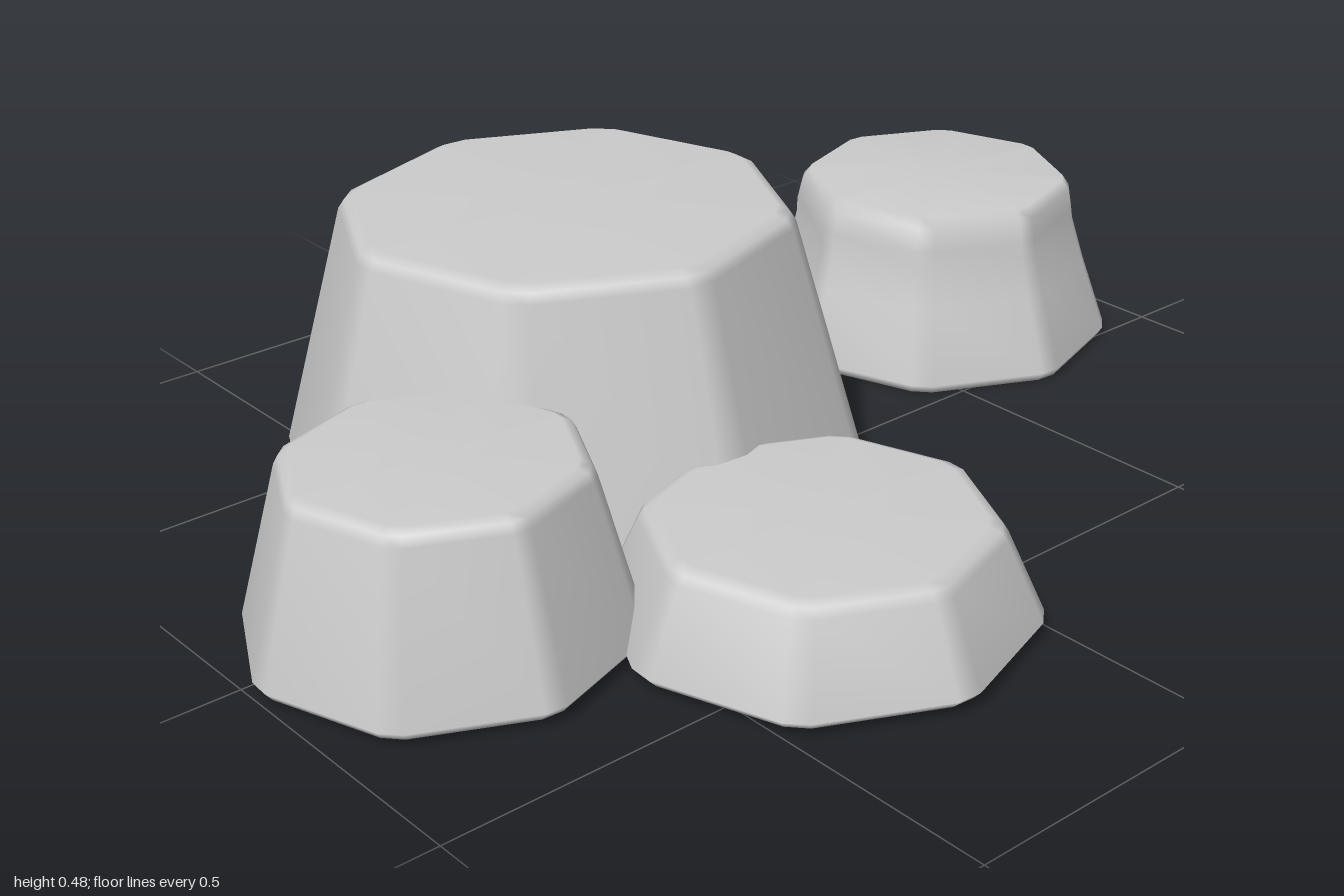
import * as THREE from 'three';
import { mergeVertices } from 'three/addons/utils/BufferGeometryUtils.js';

const material = new THREE.MeshStandardMaterial({ color: 0xcccccc });
const SIDES = 8;
const TURN = THREE.MathUtils.degToRad(-4);
const CHAMFER = THREE.MathUtils.degToRad(3.5);

// Eight-sided rock with narrow chamfered corners; rings are [radius, y, zShift] from bottom to top.
function rock(name, x, z, rings) {
  const first = rings[0], last = rings[rings.length - 1];
  const profile = [[0, first[1]], ...rings, [0, last[1], last[2]]];
  const geo = new THREE.LatheGeometry(profile.map(([r, y]) => new THREE.Vector2(r, y)), SIDES * 2);
  const pos = geo.attributes.position;
  for (let i = 0; i < pos.count; i++) {
    const column = Math.floor(i / profile.length) % (SIDES * 2);
    const [r, y, shift = 0] = profile[i % profile.length];
    // two columns per corner
    const corner = Math.floor(column / 2) * Math.PI * 2 / SIDES + TURN;
    const phi = corner + (column % 2 ? CHAMFER : -CHAMFER);
    pos.setXYZ(i, r * Math.sin(phi), y, r * Math.cos(phi) + shift);
  }
  geo.deleteAttribute('uv');
  geo.deleteAttribute('normal');
  const smooth = mergeVertices(geo, 1e-5);
  smooth.computeVertexNormals();
  const mesh = new THREE.Mesh(smooth, material);
  mesh.name = name;
  mesh.position.set(x, 0, z);
  return mesh;
}

export function createModel() {
  const group = new THREE.Group();
  group.name = 'rockCluster';
  group.add(
    rock('largeRock', -0.255, 0.195, [
      [0.483, 0.015], [0.495, 0.03], [0.378, 0.455], [0.368, 0.47], [0.348, 0.48],
    ]),
    rock('frontRock', 0.075, 0.695, [
      [0.295, 0.015], [0.307, 0.03], [0.238, 0.285], [0.23, 0.3], [0.213, 0.308],
    ]),
    rock('lowRock', 0.41, 0.237, [
      [0.322, 0.015], [0.336, 0.03], [0.277, 0.163], [0.268, 0.177], [0.248, 0.185],
    ]),
    // waisted rock standing apart at the back
    rock('backRock', -0.253, -0.678, [
      [0.315, 0.002], [0.325, 0.018], [0.281, 0.15, 0.002], [0.26, 0.23, 0.006],
      [0.258, 0.255, 0.008], [0.25, 0.295, 0.006], [0.236, 0.313, 0.004],
    ]),
  );
  return group;
}
